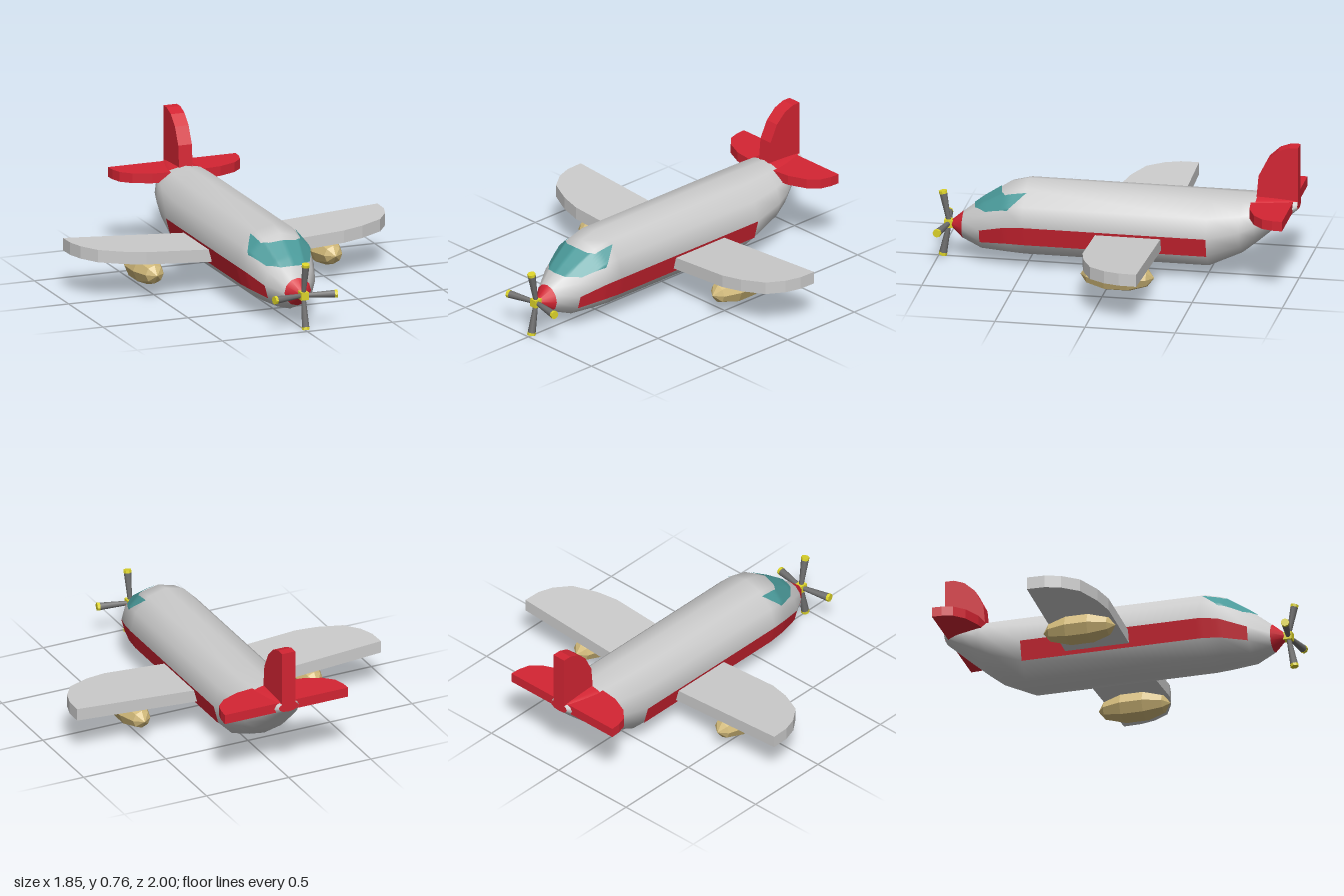
import * as THREE from 'three';
import { mergeVertices } from 'three/addons/utils/BufferGeometryUtils.js';

const paint = (color, flatShading = false) =>
  new THREE.MeshStandardMaterial({ color, flatShading });
const GREY = paint(0xcccccc), GREY_FLAT = paint(0xcccccc, true);
const RED = paint(0xd42533), RED_FLAT = paint(0xd42533, true);
const GLASS = paint(0x4a9a9a), TAN = paint(0xd2ba7a, true);
const BLADE = paint(0x707070), YELLOW = paint(0xded52a, true);

// Fuselage sections, nose to tail: z, centre height, half width, half height
const SECTIONS = [
  [0.86, 0.2, 0.077, 0.077],
  [0.75, 0.22, 0.147, 0.145],
  [0.6, 0.265, 0.2, 0.2],
  [0.5, 0.275, 0.215, 0.215],
  [-0.52, 0.275, 0.215, 0.215],
  [-0.7, 0.318, 0.2, 0.169],
  [-0.78, 0.35, 0.18, 0.135],
  [-0.88, 0.392, 0.13, 0.088],
  [-1, 0.442, 0.06, 0.028],
];
const STEP = Math.PI / 6;

// Point on the twelve-sided hull; angle runs from the top towards +x
function hullPoint(angle, z, lift = 0) {
  let i = 0;
  while (i < SECTIONS.length - 2 && z < SECTIONS[i + 1][0]) i++;
  const a = SECTIONS[i], b = SECTIONS[i + 1];
  const t = (a[0] - z) / (a[0] - b[0]);
  const [, cy, rx, ry] = a.map((v, k) => v + (b[k] - v) * t);
  const within = angle - Math.floor(angle / STEP + 1e-6) * STEP - STEP / 2;
  const f = Math.cos(STEP / 2) / Math.cos(within);
  return [Math.sin(angle) * (rx * f + lift), cy + Math.cos(angle) * (ry * f + lift), z];
}

// Grid bent into a surface: u goes round the hull, v from front to back
function surface(nu, nv, fn) {
  const g = new THREE.PlaneGeometry(1, 1, nu, nv);
  const { position, uv } = g.attributes;
  for (let i = 0; i < position.count; i++) position.setXYZ(i, ...fn(uv.getX(i), uv.getY(i)));
  g.deleteAttribute('uv');
  g.deleteAttribute('normal');
  const merged = mergeVertices(g, 1e-5);
  merged.computeVertexNormals();
  return merged;
}

// Flat panel cut from an outline and given a thickness
function panel(points, depth) {
  const shape = new THREE.Shape(points.map(([x, y]) => new THREE.Vector2(x, y)));
  return new THREE.ExtrudeGeometry(shape, { depth, bevelEnabled: false });
}

export function createModel() {
  const model = new THREE.Group();
  const add = (name, geometry, material, parent = model) => {
    const mesh = new THREE.Mesh(geometry, material);
    mesh.name = name;
    parent.add(mesh);
    return mesh;
  };

  // Fuselage, seam along the belly
  add('fuselage', surface(12, SECTIONS.length - 1, (u, v) =>
    hullPoint((u * 2 - 1) * Math.PI, SECTIONS[Math.round(v * (SECTIONS.length - 1))][0])), GREY);

  // Nose cone
  const nose = new THREE.CylinderGeometry(0.008, 0.078, 0.08, 12).rotateX(Math.PI / 2);
  add('noseCone', nose, RED).position.set(0, 0.2, 0.9);

  // Red tail top and tail end
  add('tailTop', surface(12, 8, (u, v) =>
    hullPoint((u * 2 - 1) * STEP * 1.3, -0.775 - 0.225 * v, 0.003)), RED);
  const end = new THREE.CircleGeometry(1, 12).rotateY(Math.PI).scale(0.06, 0.028, 1);
  add('tailEnd', end, RED).position.set(0, 0.442, -1);

  // Windscreen: half outline as [front angle, front z, back angle, back z]
  const half = [[0, 0.8, 0, 0.65], [31, 0.785, 25, 0.635], [54, 0.72, 36, 0.61], [64, 0.59, 37, 0.49]];
  add('windscreen', surface(36, 12, (u, v) => {
    const s = Math.abs(u * 2 - 1) * 3, i = Math.min(2, Math.floor(s));
    const [fa, fz, ba, bz] = half[i].map((x, k) => x + (half[i + 1][k] - x) * (s - i));
    const angle = THREE.MathUtils.degToRad(fa + (ba - fa) * v) * (u < 0.5 ? -1 : 1);
    return hullPoint(angle, fz + (bz - fz) * v, 0.005);
  }), GLASS);

  // Outlines as [x, z], root to tip and back
  const wingOutline = [[0.1, -0.27], [0.1, 0.093], [0.58, 0.093], [0.7, 0.065], [0.83, 0.005],
    [0.895, -0.085], [0.922, -0.17], [0.925, -0.27]];
  const tailOutline = [[0, -0.975], [0, -0.75], [0.1, -0.75], [0.2, -0.762], [0.3, -0.805],
    [0.355, -0.86], [0.372, -0.92], [0.375, -0.975]];

  for (const side of [1, -1]) {
    const label = side > 0 ? 'left' : 'right';
    const mirror = (pts) => pts.map(([x, z]) => [x * side, z]);

    // Side stripe on one hull facet
    const from = side > 0 ? 3 * STEP : -4 * STEP;
    add(label + 'Stripe', surface(1, 60, (u, v) =>
      hullPoint(from + u * STEP, 0.75 - 1.27 * v, 0.003)), RED);

    // Wing, raised towards the tip
    const wing = panel(mirror(wingOutline), 0.07).rotateX(Math.PI / 2);
    const p = wing.attributes.position;
    for (let i = 0; i < p.count; i++) p.setY(i, p.getY(i) + 0.246 + 0.064 * Math.abs(p.getX(i)));
    wing.computeVertexNormals();
    add(label + 'Wing', wing, GREY_FLAT);

    // Pod under the wing
    const pod = new THREE.SphereGeometry(1, 8, 5).rotateX(Math.PI / 2).scale(0.09, 0.087, 0.205);
    add(label + 'Pod', pod, TAN).position.set(0.525 * side, 0.147, -0.09);

    // Tailplane
    const tail = panel(mirror(tailOutline), 0.055).rotateX(Math.PI / 2);
    add(label + 'Tailplane', tail, RED_FLAT).position.y = 0.464;
  }

  // Fin, outline as [z, y]
  const fin = panel([[-1, 0.42], [-0.77, 0.47], [-0.782, 0.6], [-0.83, 0.695], [-0.89, 0.75],
    [-0.95, 0.772], [-1, 0.772]], 0.08).rotateY(-Math.PI / 2).translate(0.04, 0, 0);
  add('fin', fin, RED_FLAT);

  // Propeller with four forward-leaning, yellow-tipped blades
  const propeller = new THREE.Group();
  propeller.name = 'propeller';
  propeller.position.set(0, 0.2, 0.942);
  model.add(propeller);
  add('hub', new THREE.BoxGeometry(0.044, 0.044, 0.05), YELLOW, propeller);
  for (let i = 0; i < 4; i++) {
    const arm = new THREE.Group();
    arm.name = 'bladeArm';
    arm.rotation.z = i * Math.PI / 2;
    propeller.add(arm);
    const blade = new THREE.Group();
    blade.name = 'blade';
    blade.rotation.x = 0.19;
    arm.add(blade);
    add('bladeShaft', new THREE.CylinderGeometry(0.022, 0.012, 0.175, 8), BLADE, blade).position.y = 0.0875;
    add('bladeTip', new THREE.CylinderGeometry(0.023, 0.023, 0.016, 8), YELLOW, blade).position.y = 0.181;
  }
  return model;
}
